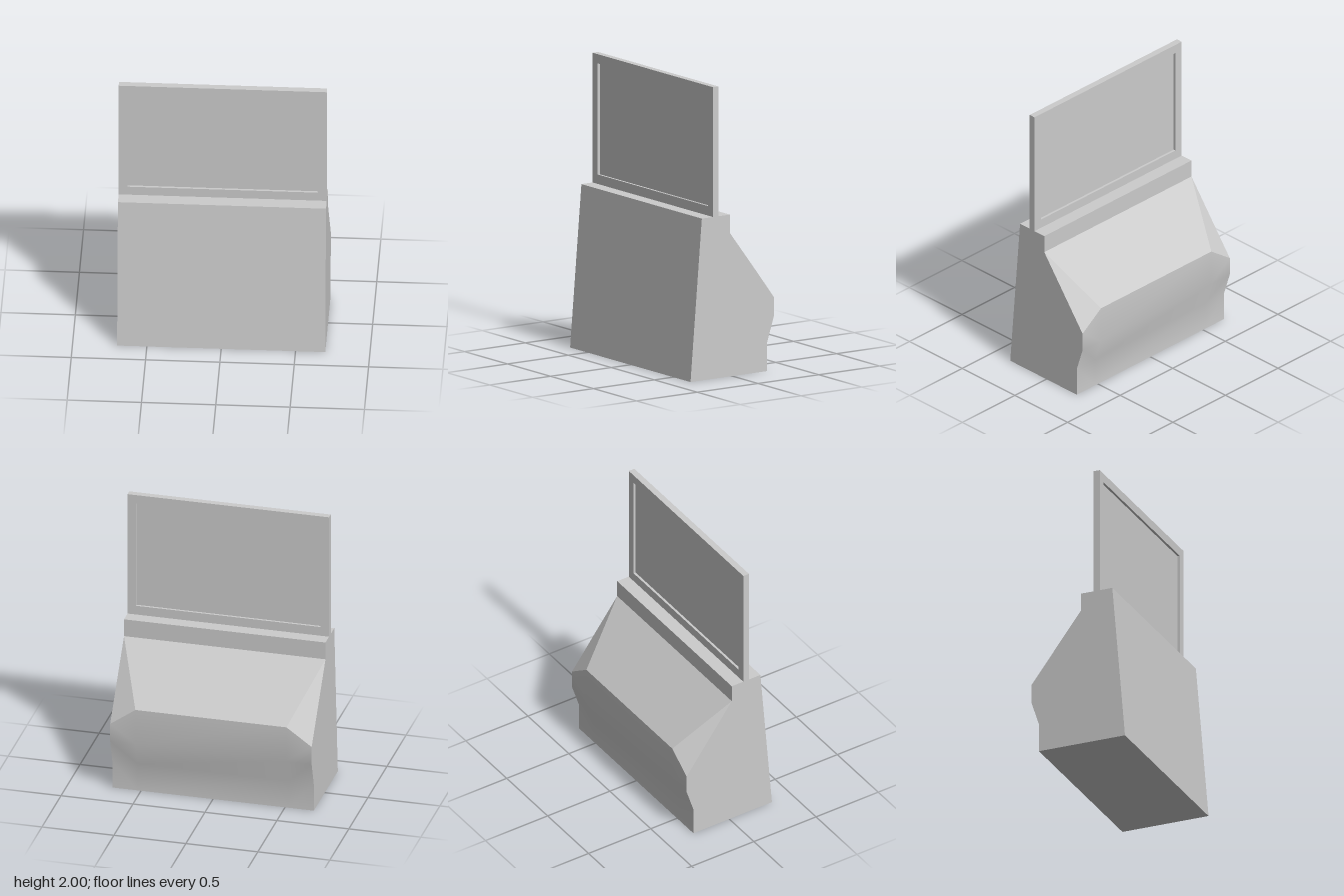
import * as THREE from 'three';
import { toCreasedNormals } from 'three/addons/utils/BufferGeometryUtils.js';

const HALF_W = 0.7, INNER_W = 0.525;

// Side profile as [z, y], from front bottom over the top and down the back.
const profile = (shoulderY) => [
  [0.343, 0], [0.25, 1.11], [0.02, 1.11], [0.02, 0.985],
  [-0.343, shoulderY], [-0.343, 0.37], [-0.288, 0.2], [-0.288, 0],
];

// Lofts the profile across x; the lower outer shoulders give the cut corners.
function bodyGeometry() {
  const sections = [[-HALF_W, 0.5], [-INNER_W, 0.625], [INNER_W, 0.625], [HALF_W, 0.5]]
    .map(([x, shoulder]) => profile(shoulder).map(([z, y]) => [x, y, z]));
  const n = sections[0].length;
  const positions = [];
  const tri = (...corners) => corners.forEach((p) => positions.push(...p));

  for (let i = 0; i < 3; i++) {
    for (let j = 0; j < n; j++) {
      const k = (j + 1) % n;
      const a = sections[i][j], b = sections[i][k];
      const c = sections[i + 1][j], d = sections[i + 1][k];
      // the diagonal is mirrored on the last span
      if (i === 2) { tri(a, c, b); tri(c, d, b); }
      else { tri(a, c, d); tri(a, d, b); }
    }
  }

  // side walls
  const outline = profile(0.5).map(([z, y]) => new THREE.Vector2(z, y));
  for (const [p, q, r] of THREE.ShapeUtils.triangulateShape(outline, [])) {
    tri(sections[0][p], sections[0][q], sections[0][r]);
    tri(sections[3][p], sections[3][r], sections[3][q]);
  }

  const geometry = new THREE.BufferGeometry();
  geometry.setAttribute('position', new THREE.Float32BufferAttribute(positions, 3));
  return toCreasedNormals(geometry, THREE.MathUtils.degToRad(20));
}

const rectangle = (PathType, x, y0, y1) => new PathType([
  [-x, y0], [x, y0], [x, y1], [-x, y1],
].map(([px, py]) => new THREE.Vector2(px, py)));

export function createModel() {
  const group = new THREE.Group();
  const material = new THREE.MeshStandardMaterial({ color: 0xcccccc });
  const add = (name, geometry) => {
    const mesh = new THREE.Mesh(geometry, material);
    mesh.name = name;
    group.add(mesh);
    return mesh;
  };

  // Cabinet with sloped front and bulging back
  add('cabinet', bodyGeometry());

  // Upright frame standing on the cabinet
  const frame = rectangle(THREE.Shape, HALF_W, 1.11, 2);
  frame.holes.push(rectangle(THREE.Path, 0.64, 1.175, 1.937));
  add('boardFrame', new THREE.ExtrudeGeometry(frame, { depth: 0.045, bevelEnabled: false }))
    .position.z = 0.113;

  // Panel recessed on both faces of the frame
  add('boardPanel', new THREE.BoxGeometry(1.28, 0.762, 0.012))
    .position.set(0, 1.556, 0.1355);

  return group;
}
